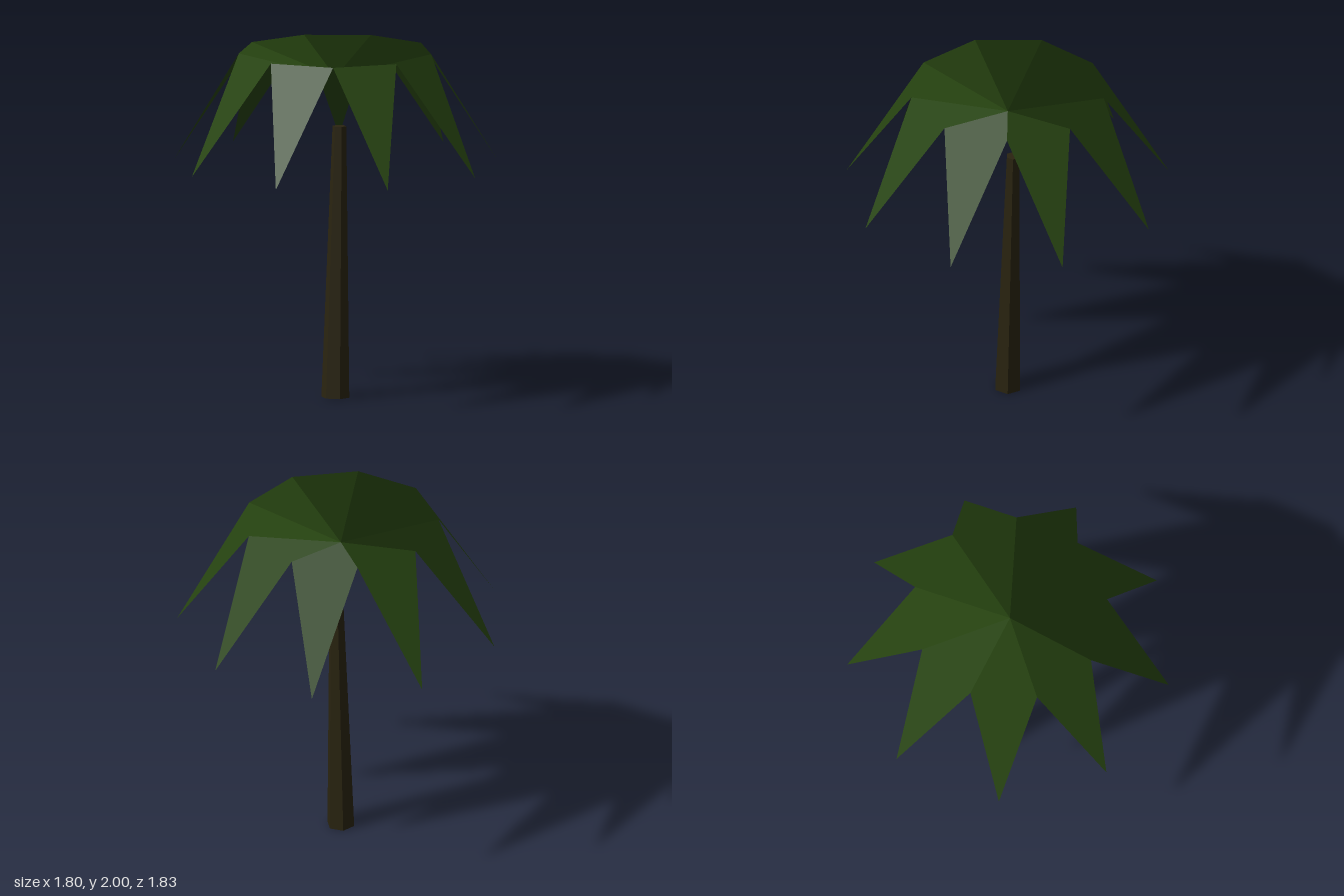
import * as THREE from 'three';

const FRONDS = 9;
const CENTRE_X = -0.03;

// Point on a ring around the crown axis
function ringPoint(radius, angle, y) {
  return new THREE.Vector3(radius * Math.cos(angle), y, radius * Math.sin(angle));
}

// One folded leaf: a shallow inner wedge and a long drooping tip, shaded as one facet
function createFrond(material) {
  const half = Math.PI / FRONDS;
  const heart = new THREE.Vector3(0, 1.85, 0);
  const foldA = ringPoint(0.555, half, 2);
  const foldB = ringPoint(0.555, -half, 2);
  const tip = ringPoint(0.93, 0, 1.35);
  const corners = [heart, foldA, foldB, foldA, tip, foldB];

  const normal = new THREE.Triangle(foldA, tip, foldB).getNormal(new THREE.Vector3());
  const geometry = new THREE.BufferGeometry().setFromPoints(corners);
  const normals = corners.flatMap(() => normal.toArray());
  geometry.setAttribute('normal', new THREE.Float32BufferAttribute(normals, 3));
  return new THREE.Mesh(geometry, material);
}

export function createModel() {
  const leafGreen = new THREE.MeshStandardMaterial({ color: 0x264310, side: THREE.DoubleSide });
  leafGreen.name = 'leaf green';
  const barkBrown = new THREE.MeshStandardMaterial({ color: 0x2a2410, flatShading: true });
  barkBrown.name = 'bark brown';

  const model = new THREE.Group();
  model.name = 'palmTree';

  // Tapered six-sided trunk with a slight lean
  const trunk = new THREE.Mesh(
    new THREE.CylinderGeometry(0.04, 0.081, 1.56, 6, 1, false, Math.PI / 6),
    barkBrown
  );
  trunk.name = 'trunk';
  trunk.position.set(-0.0125, 0.782, 0);
  trunk.rotation.z = -0.0224;
  model.add(trunk);

  // Ring of fronds
  const crown = new THREE.Group();
  crown.name = 'crown';
  crown.position.x = CENTRE_X;
  for (let i = 0; i < FRONDS; i++) {
    const frond = createFrond(leafGreen);
    frond.name = `frond${i + 1}`;
    frond.rotation.y = (i * 2 * Math.PI) / FRONDS;
    crown.add(frond);
  }
  model.add(crown);

  return model;
}
